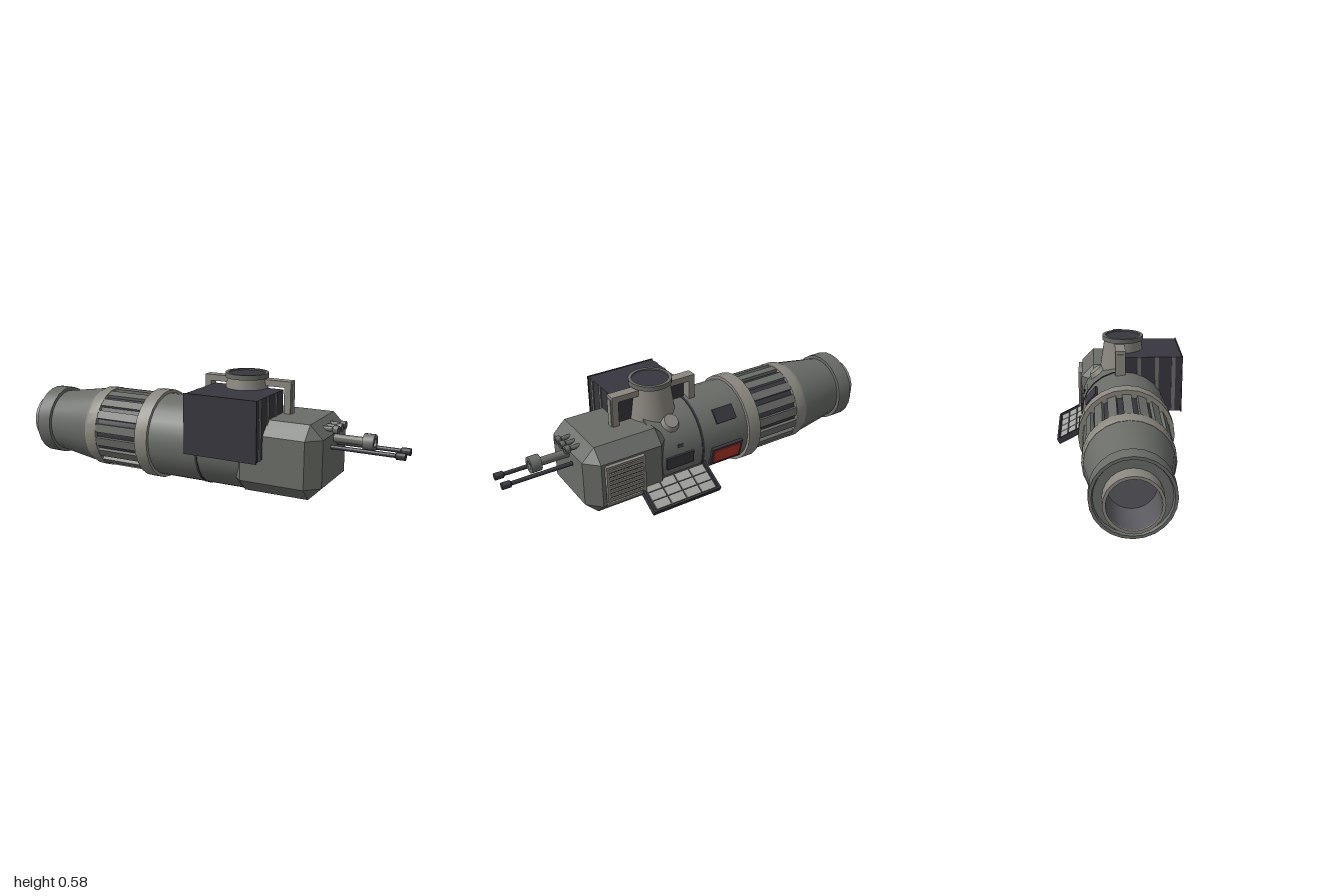
import * as THREE from 'three';
import { toCreasedNormals } from 'three/addons/utils/BufferGeometryUtils.js';
import { ConvexGeometry } from 'three/addons/geometries/ConvexGeometry.js';

const CY = 0.226, CZ = 0.023; // long axis of the body

function material(name, color, side = THREE.FrontSide) {
  const m = new THREE.MeshStandardMaterial({ color, side });
  m.name = name;
  return m;
}

export function createModel() {
  const hullGrey = material('hull grey', 0x696c67);
  const warmGrey = material('warm grey', 0x8b877f);
  const dark = material('dark violet grey', 0x38363e);
  const red = material('red', 0xb5332a);
  const cell = material('light cell grey', 0xa3a39f);
  const inner = material('nozzle inside grey', 0x5a595f, THREE.DoubleSide);

  const model = new THREE.Group();
  model.name = 'spacecraft';

  function add(parent, name, geo, mat, x = 0, y = 0, z = 0) {
    const m = new THREE.Mesh(geo, mat);
    m.name = name;
    m.position.set(x, y, z);
    parent.add(m);
    return m;
  }
  const box = (parent, name, mat, w, h, d, x, y, z) =>
    add(parent, name, new THREE.BoxGeometry(w, h, d), mat, x, y, z);

  // Turned part along x; profile is [x, radius] pairs running towards +x on the outside
  function turned(name, profile, mat, y = CY, z = CZ, sides = 24) {
    const pts = profile.map(([x, r]) => new THREE.Vector2(r, x));
    const geo = new THREE.LatheGeometry(pts, sides);
    geo.rotateZ(-Math.PI / 2);
    return add(model, name, toCreasedNormals(geo, 0.5), mat, 0, y, z);
  }
  const drum = (name, x0, x1, r, mat, y, z, sides) =>
    turned(name, [[x0, 0], [x0, r], [x1, r], [x1, 0]], mat, y, z, sides);

  // Group lying on the back of the body, its local -z pointing outwards
  function onBack(name, x, elevation, y = CY, z = CZ) {
    const g = new THREE.Group();
    g.name = name;
    g.position.set(x, y, z);
    g.rotation.x = elevation;
    model.add(g);
    return g;
  }

  // Nozzle, rear collar and tapered tail
  turned('nozzle', [[-0.9, 0.11], [-1, 0.11], [-1, 0.123], [-0.9, 0.123]], warmGrey);
  turned('nozzleLining', [[-0.82, 0], [-0.82, 0.105], [-0.995, 0.109]], inner);
  turned('rearCollar', [[-0.925, 0.11], [-0.925, 0.16], [-0.94, 0.165], [-0.94, 0.178],
    [-0.86, 0.178], [-0.86, 0.15]], hullGrey);
  turned('tailCone', [[-0.88, 0.158], [-0.6, 0.2]], hullGrey);

  // Ribbed section between two rings
  turned('rearRing', [[-0.61, 0.19], [-0.61, 0.2], [-0.595, 0.207], [-0.54, 0.207],
    [-0.54, 0.18]], warmGrey);
  drum('ribCore', -0.55, -0.28, 0.19, dark);
  const RIBS = 18;
  for (let i = 0; i < RIBS; i++) {
    const rib = onBack('rib', -0.415, (i + 0.5) / RIBS * Math.PI * 2);
    box(rib, 'ribBar', hullGrey, 0.26, 0.042, 0.03, 0, 0, -0.189);
  }
  turned('mainRing', [[-0.29, 0.18], [-0.29, 0.226], [-0.22, 0.226], [-0.22, 0.18]], warmGrey);

  // Main barrel with its seam
  drum('barrel', -0.25, 0.3, 0.21, hullGrey);
  turned('seam', [[0.04, 0.2], [0.04, 0.213], [0.052, 0.213], [0.052, 0.2]], dark);

  // Nose block with every edge bevelled
  const corners = [];
  const half = [0.22, 0.175, 0.215], bevel = 0.063;
  for (const sx of [-1, 1]) for (const sy of [-1, 1]) for (const sz of [-1, 1])
    for (let axis = 0; axis < 3; axis++) {
      const p = [sx, sy, sz].map((s, k) => s * (half[k] - (k === axis ? 0 : bevel)));
      corners.push(new THREE.Vector3(...p));
    }
  add(model, 'noseBlock', new ConvexGeometry(corners), hullGrey, 0.44, 0.227, CZ);

  // Louvred vent on the back of the nose block
  box(model, 'ventPanel', dark, 0.2, 0.2, 0.012, 0.48, 0.227, -0.195);
  for (const y of [0.13, 0.324]) box(model, 'ventFrame', warmGrey, 0.2, 0.012, 0.025, 0.48, y, -0.198);
  for (const x of [0.386, 0.574]) box(model, 'ventFrame', warmGrey, 0.012, 0.206, 0.025, x, 0.227, -0.198);
  for (let i = 0; i < 8; i++)
    box(model, 'ventSlat', warmGrey, 0.18, 0.014, 0.02, 0.48, 0.15 + i * 0.022, -0.199);

  // Nose probe, twin rods and three small thrusters
  turned('probe', [[0.64, 0], [0.64, 0.02], [0.8, 0.02], [0.8, 0.039], [0.85, 0.039],
    [0.85, 0.02], [0.84, 0.019], [0.84, 0]], hullGrey, 0.316, CZ, 20);
  for (const s of [-1, 1])
    turned('rod', [[0.64, 0], [0.64, 0.01], [0.955, 0.01], [0.96, 0.017], [1, 0.017], [1, 0]],
      dark, 0.283, CZ + s * 0.044, 16);
  for (const s of [-1, 0, 1])
    turned('thruster', [[0.6, 0], [0.6, 0.011], [0.665, 0.011], [0.672, 0.019], [0.695, 0.019],
      [0.695, 0.009], [0.685, 0.008], [0.685, 0]], hullGrey, 0.368, CZ + s * 0.049, 16);

  // Dark equipment box on the front, with a face plate and side straps
  box(model, 'equipmentBox', dark, 0.36, 0.282, 0.3, 0.215, 0.371, 0.16);
  box(model, 'facePlate', dark, 0.37, 0.288, 0.006, 0.215, 0.371, 0.312);
  for (const x of [0.034, 0.396]) for (const z of [0.27, 0.187, 0.099])
    box(model, 'strap', hullGrey, 0.008, 0.28, 0.019, x, 0.371, z);

  // Upright docking port
  function port(name, profile, mat) {
    const geo = new THREE.LatheGeometry(profile.map(p => new THREE.Vector2(...p)), 32);
    add(model, name, toCreasedNormals(geo, 0.5), mat, 0.213, 0, CZ);
  }
  port('portCone', [[0.124, 0.36], [0.094, 0.562]], warmGrey);
  port('portFlange', [[0.09, 0.56], [0.104, 0.56], [0.104, 0.583], [0.088, 0.583], [0.088, 0.57]], hullGrey);
  port('portHatch', [[0.089, 0.577], [0, 0.577]], dark);

  // Handles on both sides of the port
  for (const s of [-1, 1]) {
    box(model, 'handleBar', warmGrey, 0.14, 0.03, 0.05, 0.215 + s * 0.155, 0.54, 0.004);
    box(model, 'handlePost', warmGrey, 0.032, 0.175, 0.05, 0.215 + s * 0.209, 0.4675, 0.004);
    box(model, 'handleRidge', warmGrey, 0.008, 0.15, 0.03, 0.215 + s * 0.226, 0.465, 0.004);
  }

  // Small flared fairing behind the port
  const fairing = onBack('fairing', 0.185, 0.9);
  const flare = add(fairing, 'flare', new THREE.CylinderGeometry(0.035, 0.06, 0.05, 20), warmGrey, 0, 0, -0.205);
  flare.rotation.x = -Math.PI / 2;

  // Panels on the back of the barrel
  const window = onBack('upperPanel', -0.105, 0.7);
  box(window, 'panelPlate', dark, 0.115, 0.075, 0.02, 0, 0, -0.207);
  const hatch = onBack('redHatch', -0.09, -0.25);
  box(hatch, 'hatchFrame', dark, 0.18, 0.1, 0.02, 0, 0, -0.21);
  box(hatch, 'hatchPlate', red, 0.155, 0.076, 0.006, 0, 0, -0.221);
  const intake = onBack('sidePanel', 0.18, -0.02);
  box(intake, 'panelPlate', dark, 0.15, 0.06, 0.02, 0, 0, -0.207);
  const marker = onBack('marker', 0.17, 0.32);
  box(marker, 'markerPlate', dark, 0.03, 0.016, 0.008, 0, 0, -0.208);

  // Fold-out solar flap, hinged low on the back
  const flap = onBack('solarFlap', 0.215, -0.49, 0.147, -0.165);
  box(flap, 'flapTray', dark, 0.37, 0.016, 0.165, 0, -0.005, -0.083);
  for (const x of [-0.18, 0.18]) box(flap, 'flapRail', dark, 0.012, 0.03, 0.165, x, 0, -0.083);
  box(flap, 'flapEdge', dark, 0.37, 0.03, 0.01, 0, 0, -0.16);
  for (let i = 0; i < 4; i++) for (let j = 0; j < 3; j++)
    box(flap, 'solarCell', cell, 0.076, 0.006, 0.041, (i - 1.5) * 0.084, 0.005, -0.036 - j * 0.047);

  return model;
}
